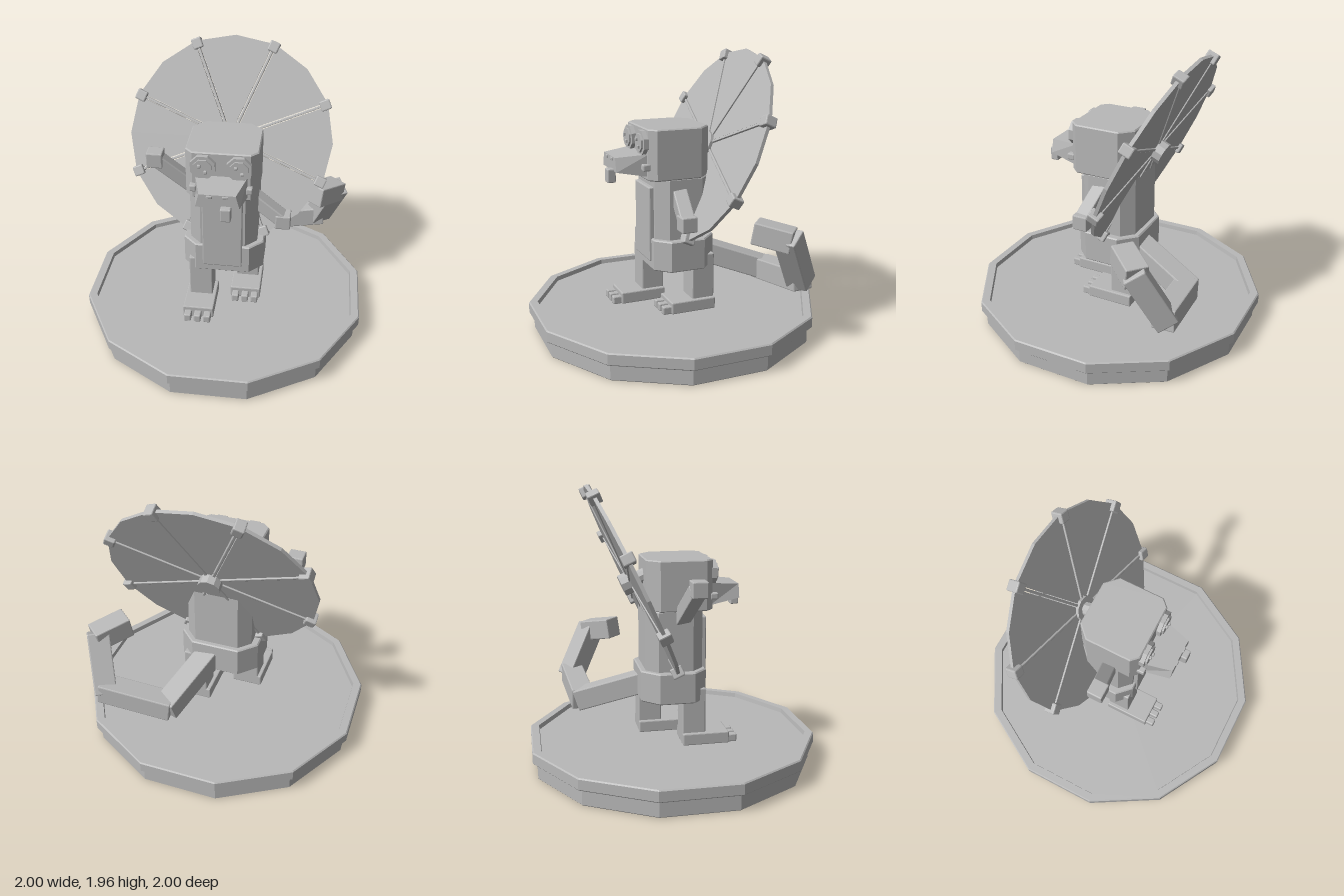
import * as THREE from 'three';
import { RoundedBoxGeometry } from 'three/addons/geometries/RoundedBoxGeometry.js';

export function createModel() {
  const model = new THREE.Group();
  const grey = new THREE.MeshStandardMaterial({ color: 0xb8b8b8, flatShading: true });
  grey.name = 'plain grey';
  const V = (x, y, z) => new THREE.Vector3(x, y, z);

  function add(name, geometry, x = 0, y = 0, z = 0, parent = model) {
    const mesh = new THREE.Mesh(geometry, grey);
    mesh.name = name;
    mesh.position.set(x, y, z);
    parent.add(mesh);
    return mesh;
  }

  // Box with slightly broken edges, given by its limits
  function block(name, x0, x1, y0, y1, z0, z1, parent = model) {
    const s = [x1 - x0, y1 - y0, z1 - z0];
    const g = new RoundedBoxGeometry(...s, 1, Math.min(0.008, Math.min(...s) * 0.2));
    return add(name, g, (x0 + x1) / 2, (y0 + y1) / 2, (z0 + z1) / 2, parent);
  }

  // Square beam running from a to b
  function beam(name, a, b, w, h) {
    const mesh = add(name, new RoundedBoxGeometry(w, h, a.distanceTo(b), 1, 0.008));
    mesh.position.copy(a).lerp(b, 0.5);
    mesh.lookAt(b);
    return mesh;
  }

  // Upright prism with chamfered corners: cf at the front, cb at the back
  function prism(name, hx, y0, y1, z0, z1, cf, cb) {
    const b = 0.008, x = hx - b, f = -(z1 - b), r = -(z0 + b);
    const shape = new THREE.Shape([
      [-x + cf, f], [x - cf, f], [x, f + cf], [x, r - cb],
      [x - cb, r], [-x + cb, r], [-x, r - cb], [-x, f + cf],
    ].map(p => new THREE.Vector2(...p)));
    const g = new THREE.ExtrudeGeometry(shape, {
      depth: y1 - y0 - 2 * b, bevelSize: b, bevelThickness: b, bevelSegments: 1,
    });
    g.rotateX(-Math.PI / 2);
    return add(name, g, 0, y0 + b, 0);
  }

  // Twelve-sided stepped base with a raised rim
  const k = 1 / Math.cos(Math.PI / 12);
  const profile = [
    [0, 0], [0.96, 0], [0.967, 0.007], [0.967, 0.115], [0.992, 0.115], [1, 0.123],
    [1, 0.192], [0.992, 0.2], [0.94, 0.2], [0.935, 0.168], [0, 0.168],
  ].map(([r, y]) => new THREE.Vector2(r * k, y));
  add('base', new THREE.LatheGeometry(profile, 12, Math.PI / 12));

  // Legs, feet and toes, one foot ahead of the other
  for (const [side, back, name] of [[-1, 0.04, 'right'], [1, -0.22, 'left']]) {
    const c = side * 0.158;
    block(name + 'Leg', c - 0.083, c + 0.083, 0.2, 0.57, back, back + 0.165);
    block(name + 'Foot', c - 0.11, c + 0.11, 0.165, 0.25, back, back + 0.33);
    for (let i = -1; i <= 1; i++) {
      const t = c + i * 0.07;
      block(name + 'Toe', t - 0.025, t + 0.025, 0.165, 0.222, back + 0.32, back + 0.39);
    }
  }

  // Body
  prism('pelvis', 0.285, 0.48, 0.7, -0.24, 0.215, 0.09, 0.11);
  prism('torso', 0.237, 0.69, 1.125, -0.205, 0.195, 0.075, 0.075);
  block('bellyPanel', -0.14, 0.14, 0.535, 1.06, 0.17, 0.228);
  prism('head', 0.245, 1.12, 1.47, -0.198, 0.255, 0.045, 0.08);

  // Snout: a box tapered towards the front
  const snout = new THREE.BoxGeometry(2, 1, 1);
  const p = snout.attributes.position;
  for (let i = 0; i < p.count; i++) {
    const front = p.getZ(i) > 0, top = p.getY(i) > 0;
    p.setXYZ(i,
      Math.sign(p.getX(i)) * (front ? (top ? 0.12 : 0.145) : 0.178),
      top ? (front ? 1.28 : 1.3) : (front ? 1.185 : 1.145),
      front ? 0.46 : 0.24);
  }
  add('snout', snout);
  block('tooth', 0.022, 0.092, 1.105, 1.2, 0.445, 0.503);

  // Eyes, nostrils and cheek bolts
  for (const s of [-1, 1]) {
    for (const [name, r, z0, z1] of [['eyeRing', 0.089, 0.24, 0.285], ['eye', 0.066, 0.28, 0.298]]) {
      const g = new THREE.CylinderGeometry(r, r, z1 - z0, 8, 1, false, Math.PI / 8);
      g.rotateX(Math.PI / 2);
      add(name, g, s * 0.12, 1.372, (z0 + z1) / 2);
    }
    for (const [dx, dy] of [[-0.02, 0.02], [0.022, -0.022]]) {
      const x = s * 0.12 + dx, y = 1.372 + dy;
      block('pupil', x - 0.011, x + 0.011, y - 0.011, y + 0.011, 0.29, 0.312);
    }
    block('nostril', s * 0.052 - 0.02, s * 0.052 + 0.02, 1.255, 1.275, 0.44, 0.468);
    block('cheekBolt', s * 0.188 - 0.023, s * 0.188 + 0.023, 1.19, 1.236, 0.24, 0.295);
  }

  // Arms: right one raised, left one lowered
  beam('rightArm', V(-0.17, 1.04, 0.035), V(-0.46, 1.305, 0.09), 0.1, 0.095);
  block('rightHand', -0.528, -0.417, 1.262, 1.372, 0.04, 0.148);
  beam('leftArm', V(0.17, 1.04, 0.03), V(0.42, 0.86, 0.065), 0.1, 0.095);
  block('leftHand', 0.36, 0.466, 0.81, 0.916, 0.01, 0.118);

  // Jointed tail curling to the left
  const joints = [V(0.05, 0.57, -0.16), V(0.21, 0.41, -0.62), V(0.67, 0.465, -0.66),
    V(0.77, 0.79, -0.5), V(0.62, 0.83, -0.33)];
  for (let i = 0; i < 4; i++) {
    const dir = joints[i + 1].clone().sub(joints[i]).normalize().multiplyScalar(0.03);
    const start = joints[i].clone().sub(dir);
    const end = joints[i + 1].clone().add(i < 3 ? dir : V(0, 0, 0));
    beam('tailSegment', start, end, 0.155, 0.15);
  }

  // Tilted dish of eight panels, spokes and tip blocks
  const dish = new THREE.Group();
  dish.name = 'dish';
  dish.position.set(0, 1.3, -0.275);
  dish.rotation.x = -0.428;
  model.add(dish);
  const R = 0.725, gap = 0.014, a = Math.PI / 8;
  const ex = R * Math.cos(a) + gap * Math.sin(a), ey = R * Math.sin(a) - gap * Math.cos(a);
  const wedge = new THREE.Shape([
    [gap / Math.sin(a), 0], [ex, -ey], [R, 0], [ex, ey],
  ].map(q => new THREE.Vector2(...q)));
  const panel = new THREE.ExtrudeGeometry(wedge, { depth: 0.024, bevelEnabled: false });
  panel.translate(0, 0, -0.012);
  for (let i = 0; i < 8; i++) {
    const sector = new THREE.Group();
    sector.name = 'dishSector';
    sector.rotation.z = i * Math.PI / 4;
    dish.add(sector);
    add('dishPanel', panel, 0, 0, 0, sector);
    const arm = new THREE.Group();
    arm.name = 'dishSpoke';
    arm.rotation.z = a;
    sector.add(arm);
    block('spoke', 0.03, 0.7, -0.009, 0.009, -0.02, 0.02, arm);
    block('spokeTip', 0.67, 0.745, -0.036, 0.036, -0.042, 0.042, arm);
  }

  // Hub behind the dish and its mount to the head
  for (const [name, r, z0, z1] of [['hub', 0.078, -0.075, 0], ['hubFront', 0.09, 0, 0.035], ['mount', 0.05, 0, 0.12]]) {
    const g = new THREE.CylinderGeometry(r, r, z1 - z0, 10);
    g.rotateX(Math.PI / 2);
    add(name, g, 0, 0, (z0 + z1) / 2, dish);
  }
  return model;
}
